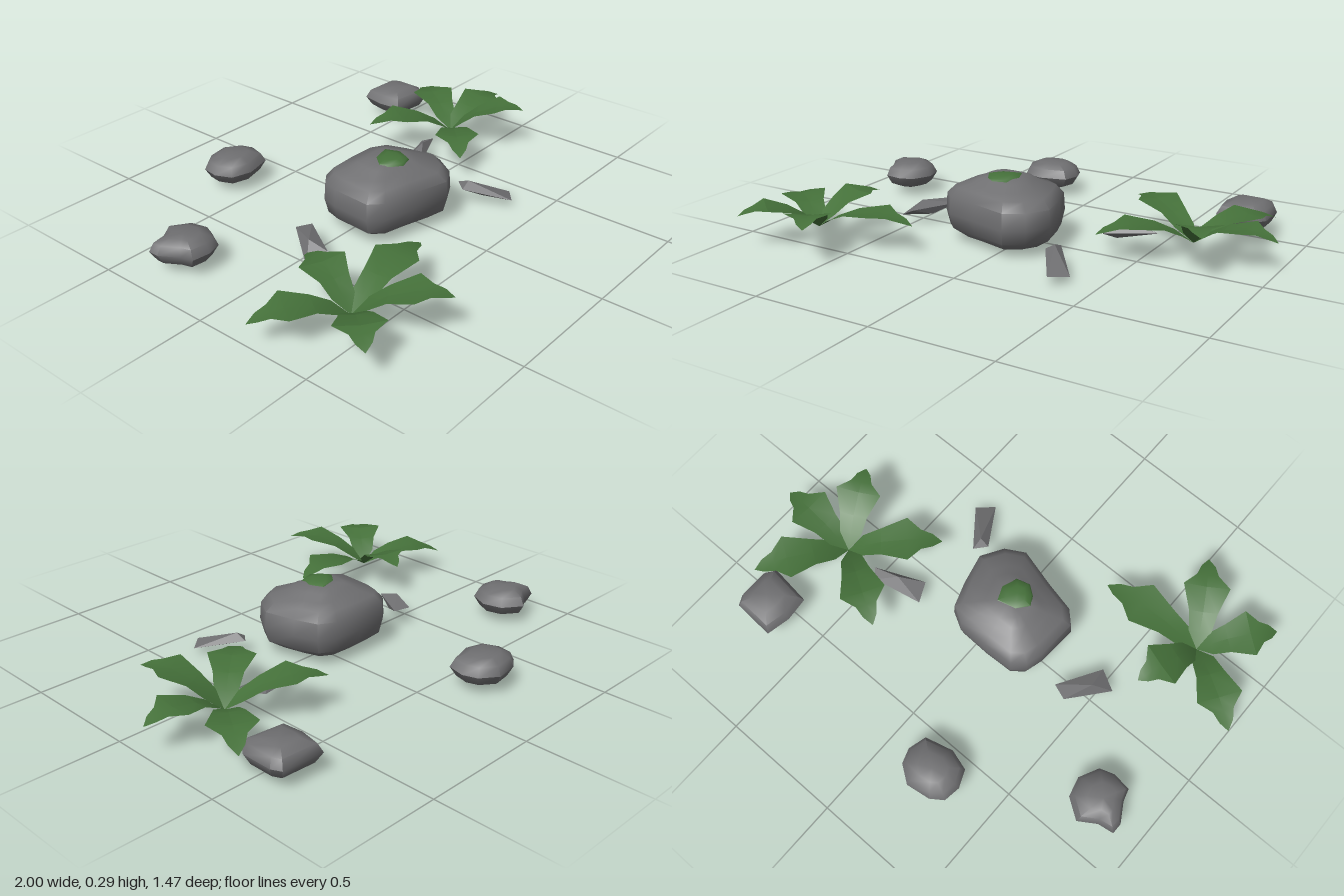
import * as THREE from 'three';
import { toCreasedNormals } from 'three/addons/utils/BufferGeometryUtils.js';
import { ConvexGeometry } from 'three/addons/geometries/ConvexGeometry.js';

const stoneGrey = new THREE.MeshStandardMaterial({ color: 0x6f6f71 });
const leafGreen = new THREE.MeshStandardMaterial({ color: 0x45713a, side: THREE.DoubleSide });

function meshFrom(name, positions, index, material, crease) {
  const geo = new THREE.BufferGeometry();
  geo.setAttribute('position', new THREE.Float32BufferAttribute(positions, 3));
  geo.setIndex(index);
  const mesh = new THREE.Mesh(toCreasedNormals(geo, crease), material);
  mesh.name = name;
  return mesh;
}

// Stacks scaled copies of a ground outline [x, z] at levels [y, scale], closed at both ends
function loft(name, outline, levels, material) {
  const n = outline.length;
  const cx = outline.reduce((s, p) => s + p[0], 0) / n;
  const cz = outline.reduce((s, p) => s + p[1], 0) / n;
  const pos = [], index = [];
  for (const [y, s] of levels)
    for (const [x, z] of outline) pos.push(cx + (x - cx) * s, y, cz + (z - cz) * s);
  for (let i = 0; i < levels.length - 1; i++)
    for (let j = 0; j < n; j++) {
      const a = i * n + j, b = i * n + (j + 1) % n;
      index.push(a, a + n, b, b, a + n, b + n);
    }
  const bottom = pos.length / 3, top = bottom + 1;
  pos.push(cx, levels[0][0], cz, cx, levels.at(-1)[0] + 0.002, cz);
  const last = (levels.length - 1) * n;
  for (let j = 0; j < n; j++) {
    const k = (j + 1) % n;
    index.push(bottom, j, k, top, last + k, last + j);
  }
  return meshFrom(name, pos, index, material, 0.9);
}

// Leaf with a creased midrib: broad shoulders, two lobes and a pointed tip
function leaf(center, tip) {
  const base = new THREE.Vector3(...center), end = new THREE.Vector3(...tip);
  const dir = end.clone().sub(base).setY(0).normalize();
  const side = new THREE.Vector3(-dir.z, 0, dir.x);
  const at = (t) => {
    const p = base.clone().lerp(end, t);
    p.y += 0.23 * t * (1 - t);
    return p;
  };
  // Stations: position along the leaf and half width
  const stations = [[0, 0], [0.16, 0.045], [0.36, 0.058], [0.64, 0.093], [0.78, 0.043], [0.9, 0.028], [1, 0]];
  const pos = [], index = [];
  stations.forEach(([t, w], i) => {
    for (const s of [-1, 0, 1]) {
      const p = at(t).addScaledVector(side, s * w);
      pos.push(p.x, p.y + Math.abs(s) * w * 0.1, p.z);
    }
    if (i) {
      const b = i * 3, a = b - 3;
      for (const k of [0, 1]) index.push(a + k, b + k, a + k + 1, a + k + 1, b + k, b + k + 1);
    }
  });
  return meshFrom('leaf', pos, index, leafGreen, 0.3);
}

function plant(name, center, tips) {
  const g = new THREE.Group();
  g.name = name;
  for (const tip of tips) g.add(leaf(center, tip));
  return g;
}

// Flat-sided splinter of rock spanning a few corners
function shard(name, corners) {
  const mesh = new THREE.Mesh(new ConvexGeometry(corners.map((c) => new THREE.Vector3(...c))), stoneGrey);
  mesh.name = name;
  return mesh;
}

export function createModel() {
  const model = new THREE.Group();
  model.name = 'rocksAndPlants';

  // Large boulder with a raised crown and a moss patch
  model.add(loft('boulder', [
    [-0.2, -0.14], [-0.07, -0.145], [0.06, -0.14], [0.13, -0.1], [0.165, 0], [0.195, 0.13], [0.14, 0.22],
    [0.06, 0.265], [-0.1, 0.22], [-0.23, 0.19], [-0.28, 0.14], [-0.27, -0.03], [-0.25, -0.1],
  ], [[0, 0.4], [0.02, 0.69], [0.06, 0.94], [0.12, 1], [0.19, 0.98], [0.225, 0.84], [0.24, 0.62], [0.262, 0.46], [0.274, 0.3]], stoneGrey));
  model.add(loft('mossPatch', [
    [-0.125, 0.07], [-0.085, 0.02], [-0.005, 0], [0.02, 0.06], [-0.005, 0.125], [-0.06, 0.14], [-0.1, 0.11],
  ], [[0.268, 1], [0.277, 0.9], [0.284, 0.5]], leafGreen));

  // Smaller stones
  const pebbleLevels = [[0.03, 0.5], [0.045, 0.8], [0.085, 1], [0.12, 0.85], [0.138, 0.5]];
  model.add(loft('backStone', [
    [-0.19, -0.74], [-0.12, -0.69], [-0.1, -0.63], [-0.12, -0.555], [-0.235, -0.525],
    [-0.32, -0.55], [-0.35, -0.62], [-0.34, -0.69], [-0.29, -0.725],
  ], pebbleLevels, stoneGrey));
  model.add(loft('backLeftStone', [
    [0.645, -0.65], [0.82, -0.64], [0.84, -0.6], [0.84, -0.47], [0.81, -0.43], [0.635, -0.45], [0.625, -0.55],
  ], pebbleLevels, stoneGrey));
  model.add(loft('rightStone', [
    [-0.77, -0.425], [-0.69, -0.37], [-0.67, -0.29], [-0.71, -0.21], [-0.77, -0.19],
    [-0.845, -0.2], [-0.86, -0.25], [-0.905, -0.325], [-0.905, -0.37], [-0.84, -0.38],
  ], pebbleLevels, stoneGrey));

  // Rock splinters around the boulder
  model.add(shard('rightShard', [
    [-0.55, 0.03, 0.08], [-0.43, 0.08, -0.085], [-0.365, 0.075, -0.06], [-0.47, 0.07, 0.115], [-0.48, 0.093, 0.03], [-0.43, 0.04, 0.03],
  ]));
  model.add(shard('frontShard', [
    [0.265, 0.075, 0.17], [0.395, 0.03, 0.335], [0.33, 0.035, 0.39], [0.225, 0.07, 0.22], [0.265, 0.095, 0.22], [0.29, 0.035, 0.27],
  ]));
  model.add(shard('leftShard', [
    [0.285, 0.045, -0.145], [0.485, 0.06, -0.19], [0.52, 0.07, -0.155], [0.32, 0.06, -0.065], [0.41, 0.098, -0.13], [0.35, 0.028, -0.13],
  ]));

  // Five-leaved plants
  model.add(plant('rightPlant', [-0.7, 0.055, 0.43], [
    [-0.61, 0.145, 0.145], [-1, 0.09, 0.23], [-0.905, 0.13, 0.67], [-0.515, 0.16, 0.73], [-0.265, 0.12, 0.39],
  ]));
  model.add(plant('leftPlant', [0.66, 0.055, -0.165], [
    [0.875, 0.1, -0.49], [1, 0.12, -0.15], [0.805, 0.185, 0.12], [0.37, 0.115, 0.1], [0.33, 0.145, -0.36],
  ]));
  return model;
}
